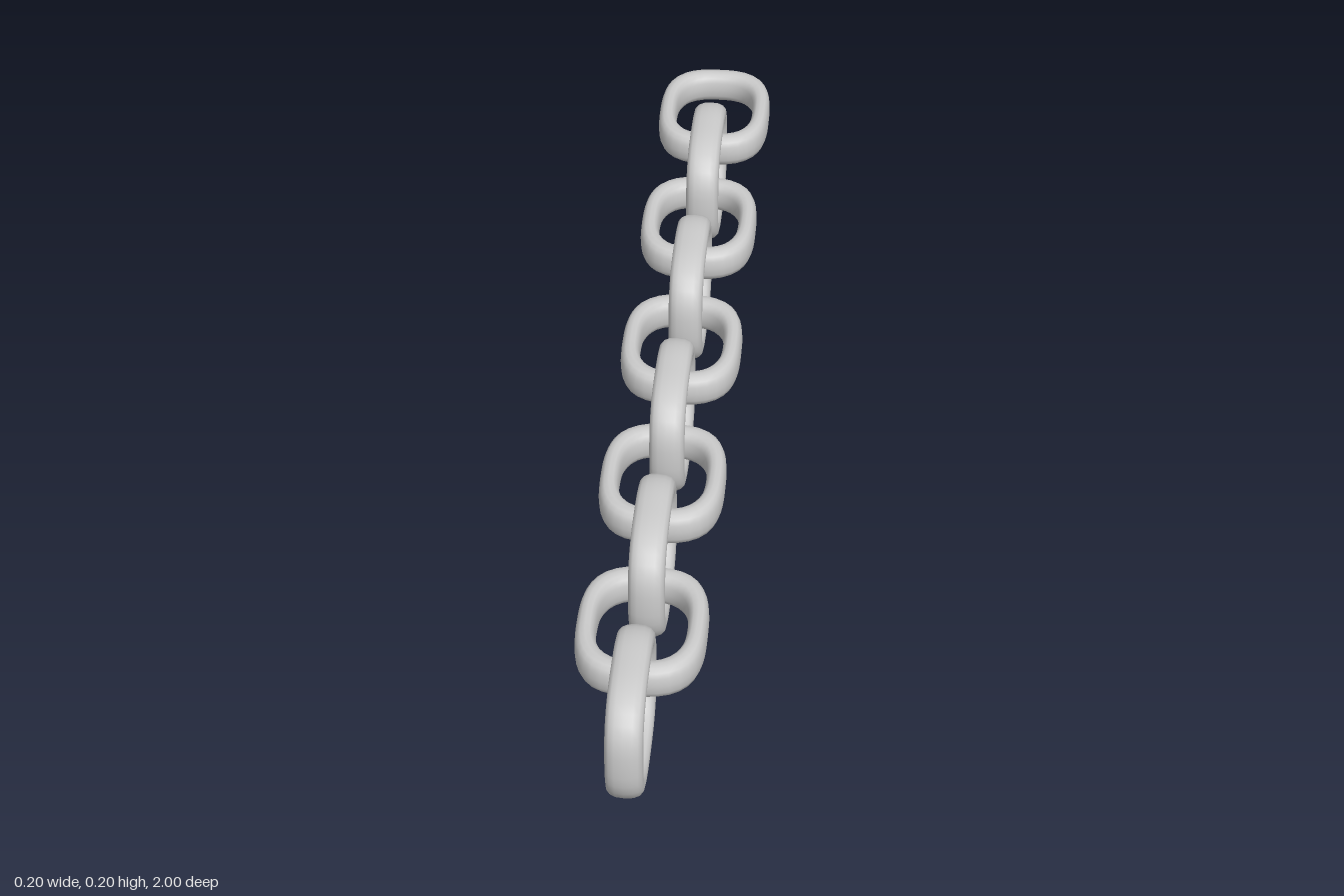
import * as THREE from 'three';

const LINKS = 10;
const HALF_WIDTH = 0.102, HALF_LENGTH = 0.137;      // outer outline of a link
const SIDE = 0.032, END = 0.042, HALF_THICK = 0.029; // bar sizes
const AROUND = 48, SECTION = 16;

// polar radius of a rounded-rectangle outline (superellipse)
const outline = (t, a, b, n) =>
  Math.pow(Math.abs(Math.sin(t) / a) ** n + Math.abs(Math.cos(t) / b) ** n, -1 / n);

const soft = (v) => Math.sign(v) * Math.abs(v) ** 0.8;

// closed link lying flat in xz, long along z
function linkGeometry() {
  const pos = [], index = [];
  for (let i = 0; i < AROUND; i++) {
    const t = (i / AROUND) * Math.PI * 2;
    const outer = outline(t, HALF_WIDTH, HALF_LENGTH, 2.9);
    const inner = outline(t, HALF_WIDTH - SIDE, HALF_LENGTH - END, 2.7);
    const mid = (outer + inner) / 2, half = (outer - inner) / 2;
    for (let j = 0; j < SECTION; j++) {
      const p = (j / SECTION) * Math.PI * 2;
      const r = mid + half * soft(Math.cos(p));
      pos.push(r * Math.sin(t), HALF_THICK * soft(Math.sin(p)), r * Math.cos(t));
      const i2 = (i + 1) % AROUND, j2 = (j + 1) % SECTION;
      const a = i * SECTION + j, b = i2 * SECTION + j;
      const c = i2 * SECTION + j2, d = i * SECTION + j2;
      index.push(a, b, c, a, c, d);
    }
  }
  const geo = new THREE.BufferGeometry();
  geo.setAttribute('position', new THREE.Float32BufferAttribute(pos, 3));
  geo.setIndex(index);
  geo.computeVertexNormals();
  return geo;
}

export function createModel() {
  const chain = new THREE.Group();
  chain.name = 'chain';
  const geo = linkGeometry();
  const mat = new THREE.MeshStandardMaterial({ color: 0xcccccc });
  const reach = 1 - HALF_LENGTH;

  // links alternate upright and flat from front to back
  for (let i = 0; i < LINKS; i++) {
    const upright = i % 2 === 0;
    const link = new THREE.Mesh(geo, mat);
    link.name = (upright ? 'uprightLink' : 'flatLink') + (i + 1);
    link.position.set(0, 0.103, reach - (2 * reach * i) / (LINKS - 1));
    if (upright) link.rotation.z = Math.PI / 2;
    chain.add(link);
  }
  return chain;
}
